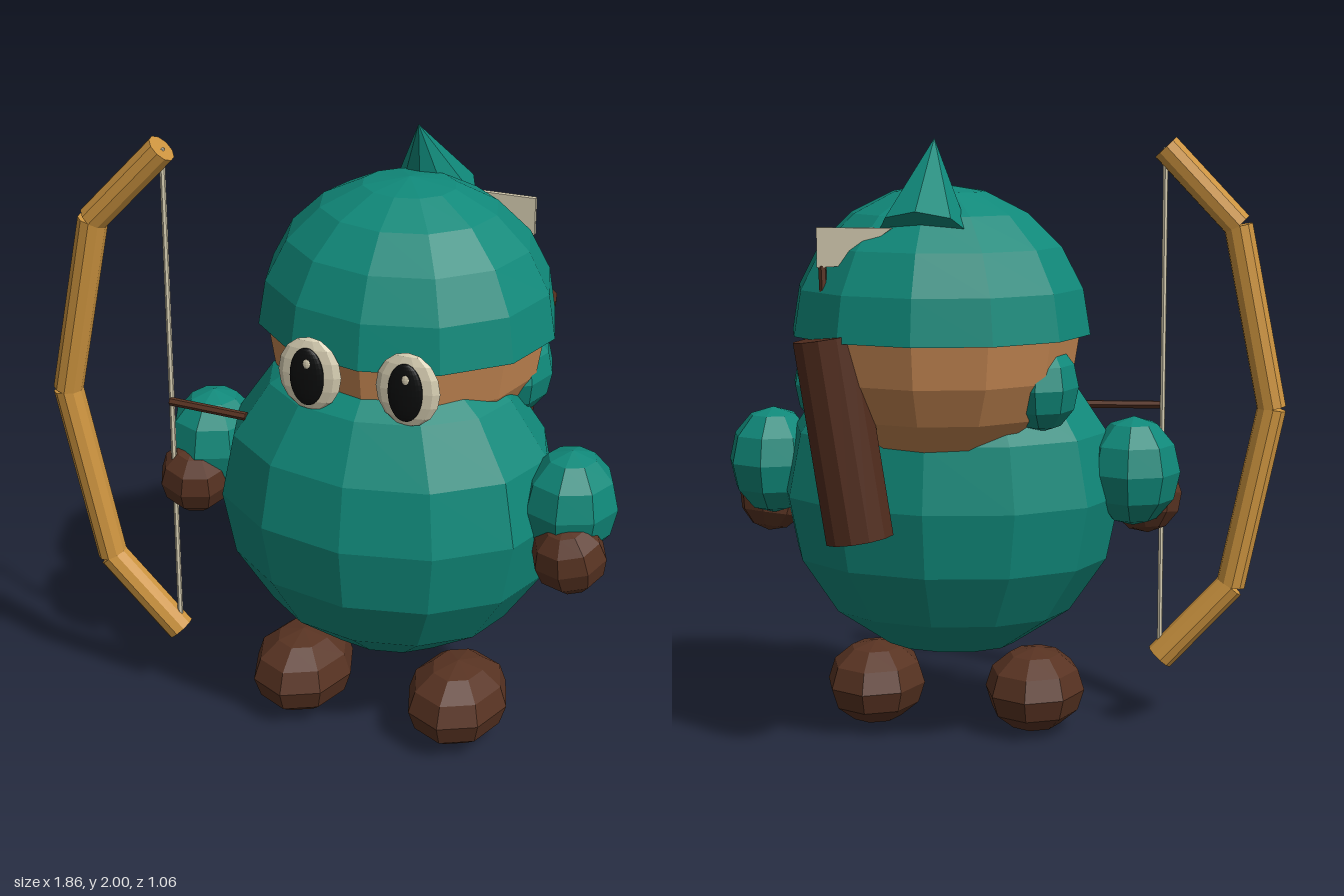
import * as THREE from 'three';

const mat = (name, color, extra = {}) => {
  const m = new THREE.MeshStandardMaterial({ color, flatShading: true, ...extra });
  m.name = name;
  return m;
};

export function createModel() {
  const teal = mat('teal cloth', 0x10897a, { side: THREE.DoubleSide });
  const skin = mat('tan skin', 0xc28551);
  const leather = mat('brown leather', 0x583322);
  const quiverBrown = mat('dark leather', 0x512c1d);
  const wood = mat('bow wood', 0xcd943f);
  const cream = mat('cream', 0xd9d0b4, { side: THREE.DoubleSide });
  const black = mat('black', 0x0b0c0c);

  const model = new THREE.Group();
  const CX = 0.16; // middle of the body

  const add = (name, geometry, material, pos = [0, 0, 0], rot = [0, 0, 0]) => {
    const mesh = new THREE.Mesh(geometry, material);
    mesh.name = name;
    mesh.position.set(...pos);
    mesh.rotation.set(...rot);
    model.add(mesh);
    return mesh;
  };
  const blob = (name, material, pos, radii, w = 8, h = 6, rot) =>
    add(name, new THREE.SphereGeometry(1, w, h).scale(...radii), material, pos, rot);
  const rod = (name, material, a, b, radius, sides = 8) => {
    const from = new THREE.Vector3(...a), to = new THREE.Vector3(...b);
    const dir = to.clone().sub(from);
    const mesh = add(name, new THREE.CylinderGeometry(radius, radius, dir.length(), sides), material);
    mesh.position.copy(from).add(to).multiplyScalar(0.5);
    mesh.quaternion.setFromUnitVectors(new THREE.Vector3(0, 1, 0), dir.normalize());
    return mesh;
  };

  // Body and head
  blob('body', teal, [CX, 0.83, 0.08], [0.57, 0.555, 0.45], 12, 8);
  blob('head', skin, [CX, 1.38, -0.08], [0.455, 0.44, 0.435], 12, 10);

  // Domed cap, open underneath, with a pointed tip leaning forward
  add('cap', new THREE.SphereGeometry(1, 12, 5, 0, Math.PI * 2, 0, Math.PI / 2).scale(0.49, 0.475, 0.45),
    teal, [CX, 1.38, -0.08]);
  add('capTip', new THREE.ConeGeometry(0.145, 0.33, 8), teal, [CX, 1.857, -0.237], [0.52, 0, 0]);

  // Paired parts: s = 1 is the model's left
  for (const s of [1, -1]) {
    const side = s > 0 ? 'left' : 'right';
    blob(side + 'EarFlap', teal, [CX + s * 0.35, 1.222, -0.16], [0.115, 0.145, 0.16], 8, 6);
    blob(side + 'Arm', teal, [CX + s * 0.612, 0.913, 0.095], [0.155, 0.182, 0.165], 8, 6);
    blob(side + 'Hand', leather, [CX + s * 0.642, s > 0 ? 0.775 : 0.815, 0.19],
      [0.122, 0.125, 0.12], 8, 6, [0.2, 0, s * 0.1]);
    blob(side + 'Foot', leather, [CX + s * 0.276, 0.142, 0.155], [0.17, 0.142, 0.213], 8, 6);

    // Eyes
    const ex = CX + s * 0.16;
    blob(side + 'EyeWhite', cream, [ex, 1.342, 0.36], [0.104, 0.122, 0.026], 10, 8);
    blob(side + 'Pupil', black, [ex, 1.342, 0.385], [0.056, 0.096, 0.02], 24, 16);
    blob(side + 'EyeGlint', cream, [ex + 0.006, 1.392, 0.402], [0.012, 0.016, 0.004], 8, 6);
  }

  // Bow limbs, string and nocked arrow
  const bow = [
    [-0.53, 1.965, 0.25], [-0.77, 1.71, 0.27], [-0.89, 1.105, 0.28],
    [-0.765, 0.5, 0.27], [-0.53, 0.245, 0.25],
  ];
  for (let i = 0; i < 4; i++) rod('bowLimb' + (i + 1), wood, bow[i], bow[i + 1], 0.049, 10);
  rod('bowString', cream, bow[0], bow[4], 0.009, 6);
  rod('nockedArrow', leather, [-0.53, 1.11, 0.26], [-0.26, 1.105, 0.265], 0.014, 6);

  // Quiver leaning on the back with a feathered arrow
  rod('quiver', quiverBrown, [0.355, 0.755, -0.395], [0.455, 1.39, -0.39], 0.11, 12);
  rod('quiverArrow', leather, [0.46, 1.2, -0.36], [0.475, 1.61, -0.36], 0.013, 6);
  const feather = new THREE.Shape([[0.49, 1.73], [0.25, 1.73], [0.42, 1.61], [0.49, 1.605]]
    .map(([x, y]) => new THREE.Vector2(x, y)));
  add('arrowFeather', new THREE.ExtrudeGeometry(feather, { depth: 0.016, bevelEnabled: false }),
    cream, [0, 0, -0.37]);

  return model;
}
